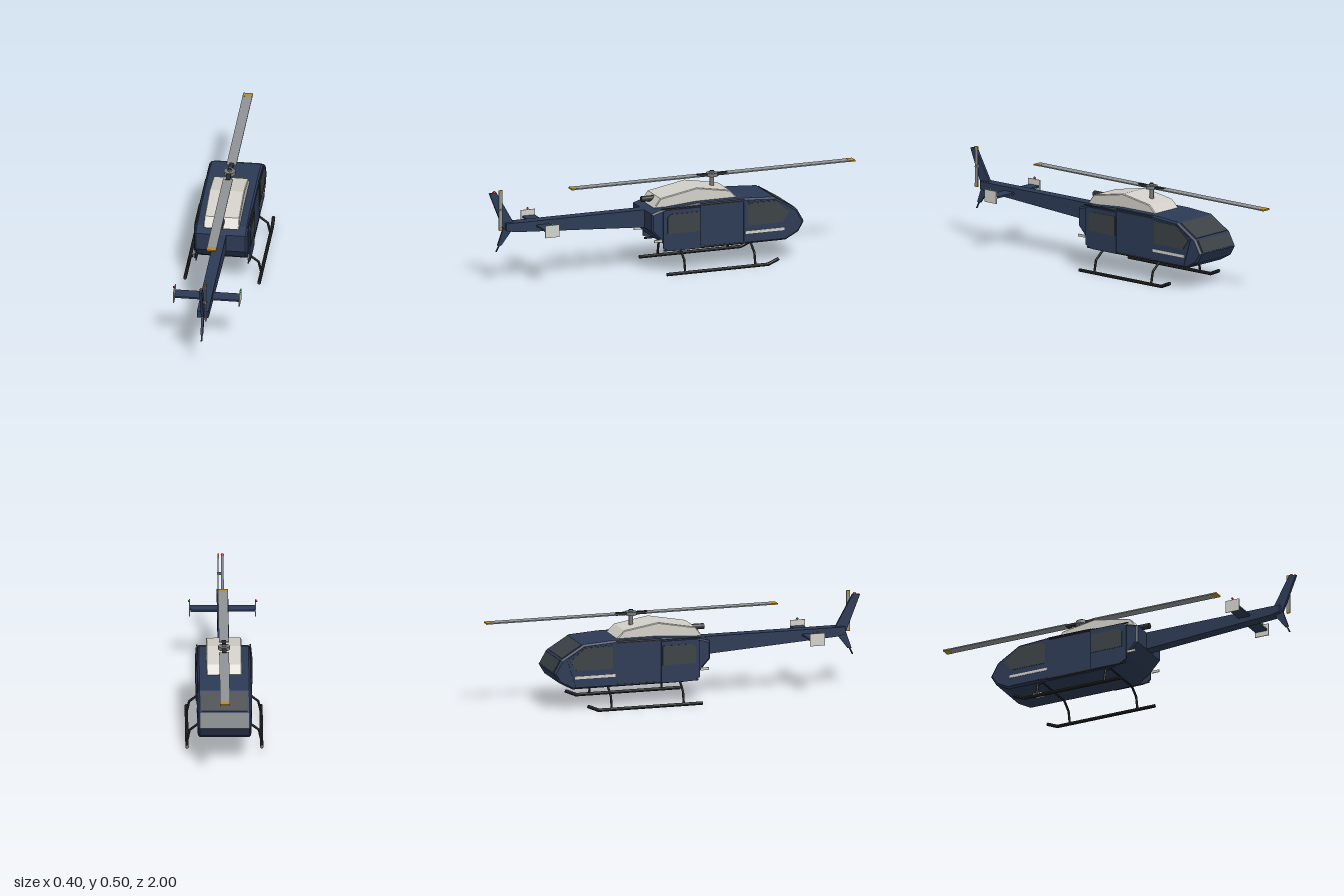
import * as THREE from 'three';

const mat = (color, side = THREE.FrontSide) => new THREE.MeshStandardMaterial({ color, side, flatShading: true });
const navy = mat(0x2c3a55), glass = mat(0x3b4145), white = mat(0xd2d0c8), dark = mat(0x2c2d2f);
const bladeGrey = mat(0x8f9395), yellow = mat(0xb58a2a), cabinGrey = mat(0x55595c), metal = mat(0x77797b);
const red = mat(0xcc2020), green = mat(0x20a040);

export function createModel() {
  const root = new THREE.Group();

  const add = (name, geometry, material, x = 0, y = 0, z = 0, parent = root) => {
    const m = new THREE.Mesh(geometry, material);
    m.name = name;
    m.position.set(x, y, z);
    parent.add(m);
    return m;
  };
  const box = (name, w, h, d, material, x, y, z, parent) =>
    add(name, new THREE.BoxGeometry(w, h, d), material, x, y, z, parent);
  const cyl = (name, r, h, material, x, y, z, parent, sides = 16) =>
    add(name, new THREE.CylinderGeometry(r, r, h, sides), material, x, y, z, parent);

  // Side profile of [z, y] points, given a width across x
  const slab = (name, pts, width, material, x = 0, bevel = 0, hole = null) => {
    const toVec = (p) => new THREE.Vector2(p[0], p[1]);
    const shape = new THREE.Shape(pts.map(toVec));
    if (hole) shape.holes.push(new THREE.Path(hole.map(toVec)));
    const g = new THREE.ExtrudeGeometry(shape, {
      depth: width - 2 * bevel, bevelEnabled: bevel > 0,
      bevelThickness: bevel, bevelSize: bevel, bevelOffset: -bevel, bevelSegments: 1,
    });
    g.translate(0, 0, -(width - 2 * bevel) / 2);
    g.rotateY(-Math.PI / 2);
    return add(name, g, material, x);
  };

  // Round bar between two points
  const rod = (name, a, b, r, material) => {
    const va = new THREE.Vector3(...a), vb = new THREE.Vector3(...b);
    const m = cyl(name, r, va.distanceTo(vb), material, 0, 0, 0, root, 10);
    m.position.copy(va).lerp(vb, 0.5);
    m.quaternion.setFromUnitVectors(new THREE.Vector3(0, 1, 0), vb.sub(va).normalize());
    return m;
  };

  // Flat pane lying on a slope between two [z, y] points
  const pane = (name, a, b, width, material) => {
    const dz = b[0] - a[0], dy = b[1] - a[1];
    const m = box(name, width, 0.006, Math.hypot(dz, dy) * 0.88, material, 0, (a[1] + b[1]) / 2, (a[0] + b[0]) / 2);
    m.rotation.x = -Math.atan2(dy, dz);
  };

  // Fuselage with the open cabin cut straight through
  const brow = [-0.515, 0.343], nose = [-0.635, 0.27], chin = [-0.675, 0.2];
  slab('fuselage', [
    [0.16, 0.225], [0.16, 0.318], [0.1, 0.337], [-0.1, 0.353], [-0.36, 0.353], brow,
    nose, chin, [-0.645, 0.15], [-0.575, 0.113], [0.03, 0.113], [0.1, 0.16],
  ], 0.27, navy, 0, 0.009, [[-0.112, 0.128], [-0.112, 0.342], [-0.337, 0.342], [-0.337, 0.128]]);
  pane('upperWindscreen', brow, nose, 0.235, glass);
  pane('lowerWindscreen', nose, chin, 0.235, glass);

  // Cabin interior
  box('cabinFloor', 0.25, 0.006, 0.224, cabinGrey, 0, 0.128, -0.2245);
  box('rearBulkhead', 0.25, 0.21, 0.006, cabinGrey, 0, 0.235, -0.113);
  box('frontSeatBacks', 0.23, 0.175, 0.02, cabinGrey, 0, 0.215, -0.327);
  box('rearBench', 0.23, 0.06, 0.06, cabinGrey, 0, 0.158, -0.145);

  // Doors, windows and trim on both sides
  for (const s of [-1, 1]) {
    slab('slidingDoor', [[0.1, 0.135], [0.1, 0.325], [0.085, 0.335], [-0.105, 0.335], [-0.105, 0.118], [0.06, 0.118]],
      0.007, navy, s * 0.1395);
    slab('slidingDoorWindow', [[0.078, 0.21], [0.078, 0.295], [0.06, 0.312], [-0.098, 0.312], [-0.098, 0.21]],
      0.004, glass, s * 0.1435);
    slab('cockpitDoor', [[-0.343, 0.125], [-0.343, 0.335], [-0.515, 0.331], [-0.605, 0.27], [-0.56, 0.125]],
      0.004, navy, s * 0.1355);
    slab('cockpitWindow', [[-0.362, 0.21], [-0.362, 0.315], [-0.38, 0.328], [-0.512, 0.326], [-0.592, 0.262], [-0.555, 0.21]],
      0.004, glass, s * 0.138);
    box('sideStripe', 0.004, 0.014, 0.215, white, s * 0.138, 0.174, -0.457);
    box('doorRail', 0.006, 0.006, 0.45, dark, s * 0.136, 0.34, -0.115);
    box('doorSill', 0.006, 0.008, 0.45, dark, s * 0.134, 0.122, -0.13);
    box('doorHandle', 0.006, 0.013, 0.045, white, s * 0.139, 0.176, 0.128);
  }
  box('bellyPlate', 0.042, 0.01, 0.046, white, 0, 0.109, -0.465);

  // Engine cowl and exhaust
  slab('engineCowl', [[0.13, 0.337], [0.095, 0.385], [-0.105, 0.422], [-0.285, 0.392], [-0.33, 0.348], [-0.33, 0.335]],
    0.18, white, 0, 0.004);
  cyl('exhaust', 0.015, 0.08, dark, 0, 0.367, 0.126).rotation.x = Math.PI / 2;

  // Main rotor: two blades along z
  const rotor = new THREE.Group();
  rotor.name = 'mainRotor';
  rotor.position.set(0, 0.461, -0.2225);
  root.add(rotor);
  cyl('mast', 0.011, 0.09, metal, 0, -0.027, 0, rotor);
  cyl('hubDisc', 0.03, 0.018, metal, 0, 0, 0, rotor, 20);
  cyl('hubCap', 0.01, 0.012, dark, 0, 0.014, 0, rotor);
  for (const s of [-1, 1]) {
    box('bladeGrip', 0.022, 0.014, 0.065, dark, 0, 0, s * 0.05, rotor);
    box('mainBlade', 0.05, 0.006, 0.672, bladeGrey, 0, 0, s * 0.4075, rotor);
    box('mainBladeTip', 0.05, 0.007, 0.034, yellow, 0, 0, s * 0.7605, rotor);
  }

  // Tail boom, fins and skid rod
  slab('tailBoom', [[0.15, 0.225], [0.15, 0.318], [0.915, 0.318], [0.915, 0.28], [0.87, 0.27]], 0.058, navy);
  slab('upperFin', [[0.865, 0.31], [0.962, 0.482], [1, 0.478], [0.925, 0.29]], 0.014, navy);
  slab('lowerFin', [[0.87, 0.285], [0.915, 0.3], [0.925, 0.285], [0.955, 0.2], [0.935, 0.2]], 0.012, navy);
  rod('tailSkid', [0, 0.215, 0.938], [0, 0.168, 0.962], 0.004, dark);
  add('finLight', new THREE.SphereGeometry(0.008, 12, 8), red, 0, 0.482, 0.972);

  // Tail rotor on the left of the fin
  rod('tailRotorShaft', [0, 0.39, 0.945], [0.027, 0.39, 0.945], 0.008, metal);
  box('tailRotorBlade', 0.005, 0.18, 0.02, bladeGrey, 0.021, 0.39, 0.945);
  for (const s of [-1, 1]) box('tailRotorTip', 0.006, 0.018, 0.02, yellow, 0.021, 0.39 + s * 0.097, 0.945);

  // Stabiliser with end plates and navigation lights
  box('stabiliser', 0.33, 0.009, 0.068, navy, 0, 0.292, 0.717);
  for (const s of [-1, 1]) {
    box('endPlate', 0.005, 0.065, 0.078, white, s * 0.168, 0.294, 0.72);
    add('navigationLight', new THREE.SphereGeometry(0.006, 12, 8), s > 0 ? green : red, s * 0.171, 0.332, 0.72);
  }

  // Landing skids and bent cross tubes
  for (const s of [-1, 1]) {
    const path = new THREE.CurvePath();
    const pts = [[0.1, 0.01], [-0.455, 0.01], [-0.512, 0.034]].map((p) => new THREE.Vector3(s * 0.19, p[1], p[0]));
    path.add(new THREE.LineCurve3(pts[0], pts[1]));
    path.add(new THREE.LineCurve3(pts[1], pts[2]));
    for (let i = 0; i < 2; i++) {
      rod('skid', pts[i].toArray(), pts[i + 1].toArray(), 0.009, dark);
    }
    add('skidBend', new THREE.SphereGeometry(0.009, 10, 8), dark, ...pts[1].toArray());
    for (const z of [0, -0.385]) {
      rod('upperStrut', [s * 0.12, 0.119, z], [s * 0.176, 0.075, z], 0.006, dark);
      rod('lowerStrut', [s * 0.176, 0.075, z], [s * 0.19, 0.01, z], 0.006, dark);
      add('strutBend', new THREE.SphereGeometry(0.006, 10, 8), dark, s * 0.176, 0.075, z);
    }
  }
  for (const z of [0, -0.385]) rod('crossTube', [-0.12, 0.115, z], [0.12, 0.115, z], 0.006, dark);

  return root;
}
